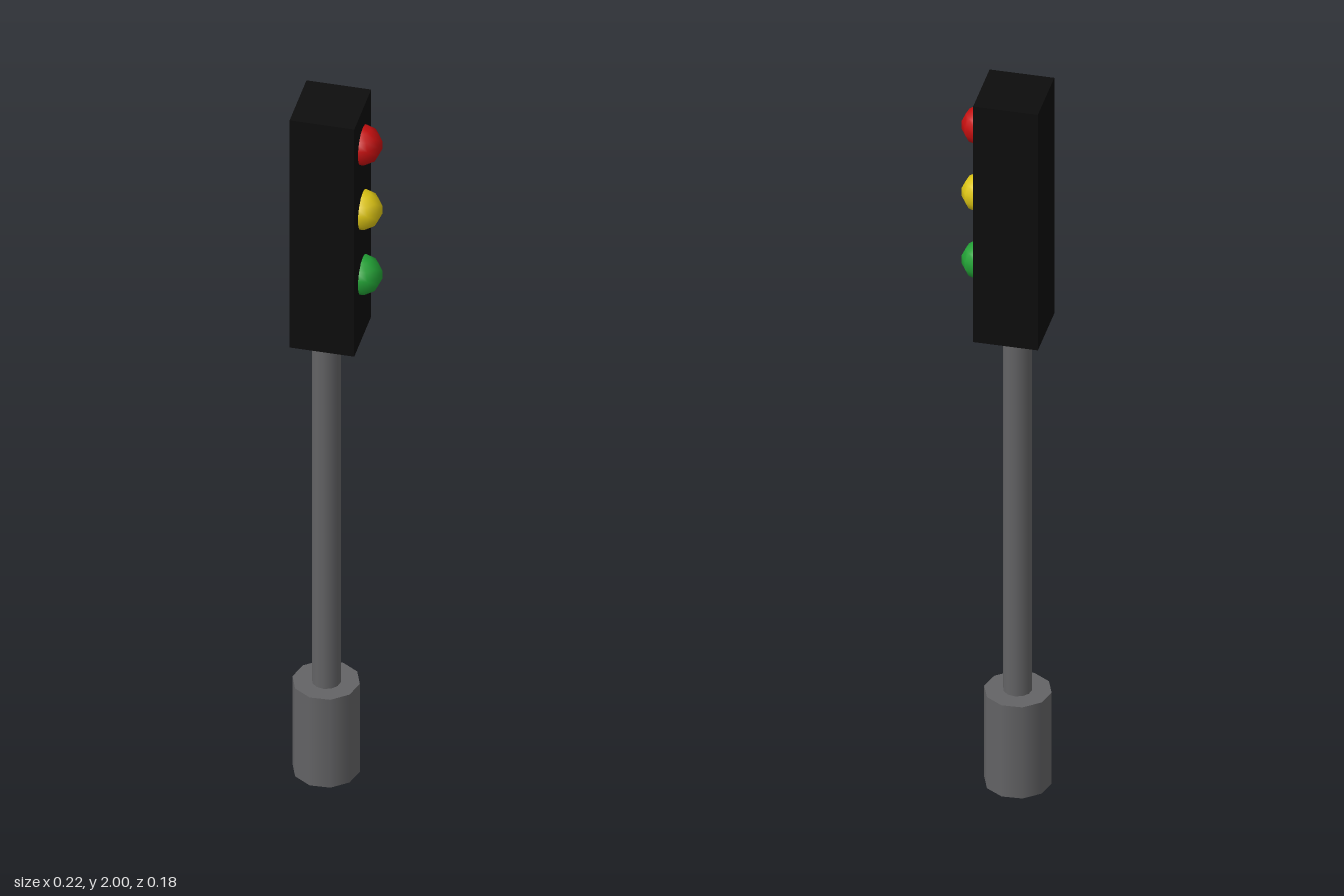
import * as THREE from 'three';

function material(name, color) {
  const m = new THREE.MeshStandardMaterial({ color });
  m.name = name;
  return m;
}

export function createModel() {
  const model = new THREE.Group();
  model.name = 'trafficLight';

  const grey = material('grey metal', 0x636365);
  const black = material('black housing', 0x0d0d0d);

  function add(name, geometry, mat, x, y, z, turn = 0) {
    const mesh = new THREE.Mesh(geometry, mat);
    mesh.name = name;
    mesh.position.set(x, y, z);
    mesh.rotation.y = turn;
    model.add(mesh);
  }

  // Post standing in a heavy ten-sided foot
  const foot = new THREE.CylinderGeometry(0.084, 0.084, 0.265, 10, 1, false, Math.PI / 2);
  add('foot', foot, grey, -0.029, 0.1325, 0);
  const post = new THREE.CylinderGeometry(0.036, 0.036, 1.2, 12);
  add('post', post, grey, -0.028, 0.8, 0.002);

  // Signal housing, turned very slightly on the post
  add('housing', new THREE.BoxGeometry(0.163, 0.685, 0.173), black, -0.0187, 1.6575, -0.0007, -0.05);

  // Three bulbs half sunk into the left face
  const bulb = new THREE.SphereGeometry(0.052, 10, 7);
  const lamps = [
    ['redLamp', 'red', 0xc40f0f, 1.893],
    ['yellowLamp', 'yellow', 0xdcc414, 1.698],
    ['greenLamp', 'green', 0x22a035, 1.502],
  ];
  for (const [name, colorName, color, y] of lamps) {
    add(name, bulb, material(colorName, color), 0.06, y, 0.002, 0.15);
  }

  return model;
}
